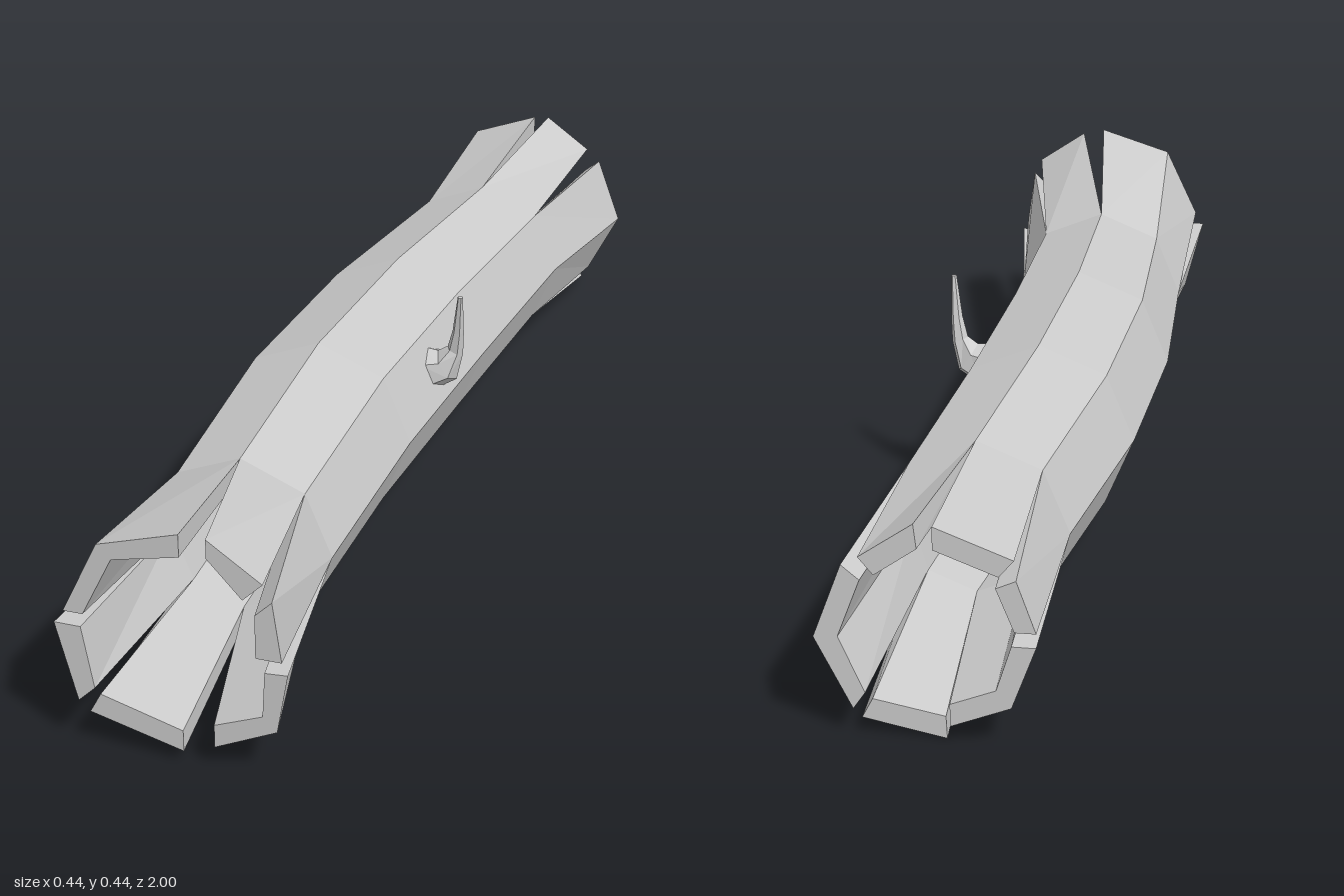
import * as THREE from 'three';

const material = new THREE.MeshStandardMaterial({ color: 0xcccccc, flatShading: true });

// Collects quads (counter-clockwise corners) into a flat-shaded mesh
function quadMesh(name, quads) {
  const pos = [];
  for (const [a, b, c, d] of quads) pos.push(...a, ...b, ...c, ...a, ...c, ...d);
  const g = new THREE.BufferGeometry();
  g.setAttribute('position', new THREE.Float32BufferAttribute(pos, 3));
  g.computeVertexNormals();
  const m = new THREE.Mesh(g, material);
  m.name = name;
  return m;
}

// Thick shell between section A (lower z) and section B (higher z)
function shell(A, B, { sides = false, capA = false, capB = false } = {}) {
  const q = [];
  const n = A.length - 1;
  for (let k = 0; k < n; k++) {
    const [a, a2, b, b2] = [A[k], A[k + 1], B[k], B[k + 1]];
    q.push([a.o, a2.o, b2.o, b.o], [a.i, b.i, b2.i, a2.i]);
    if (capB) q.push([b.o, b2.o, b2.i, b.i]);
    if (capA) q.push([a.o, a.i, a2.i, a2.o]);
  }
  if (sides) {
    q.push([A[0].i, A[0].o, B[0].o, B[0].i]);
    q.push([A[n].i, B[n].i, B[n].o, A[n].o]);
  }
  return q;
}

// Octagonal ring with outer radius r and inner radius r * f
function ring({ z, x, y, r, f }) {
  const pts = [];
  for (let k = 0; k <= 8; k++) {
    const t = (k % 8) * Math.PI / 4;
    const ri = r * f * (k % 8 === 0 ? 0.92 : 1);
    pts.push({
      o: [x + r * Math.cos(t), y + r * Math.sin(t), z],
      i: [x + ri * Math.cos(t), y + ri * Math.sin(t), z],
    });
  }
  return pts;
}

// Splinters: first octagon corner, z of the tip, outer and inner tip points
const frontSplinters = [
  { k: 0, z: 0.99, o: [[0.175, 0.235], [0.16, 0.345]], i: [[0.13, 0.235], [0.13, 0.315]] },
  { k: 1, z: 0.99, o: [[0.145, 0.375], [0.05, 0.44]], i: [[0.11, 0.34], [0.05, 0.405]] },
  { k: 2, z: 1, o: [[0.008, 0.447], [-0.135, 0.402], [-0.2, 0.265]], i: [[0.008, 0.405], [-0.11, 0.378], [-0.165, 0.265]] },
  { k: 4, z: 1, o: [[-0.217, 0.24], [-0.18, 0.095]], i: [[-0.17, 0.24], [-0.15, 0.125]] },
  { k: 5, z: 0.99, o: [[-0.165, 0.07], [0, 0.027]], i: [[-0.145, 0.108], [0, 0.067]] },
  { k: 6, z: 0.99, o: [[0.055, 0.047], [0.165, 0.1], [0.185, 0.213]], i: [[0.055, 0.09], [0.14, 0.125], [0.145, 0.21]] },
];
const backSplinters = [
  { k: 7, z: -0.99, o: [[0.16, 0.05], [0.223, 0.175], [0.175, 0.305]], i: [[0.14, 0.08], [0.183, 0.178], [0.145, 0.28]] },
  { k: 1, z: -1, o: [[0.145, 0.325], [0.055, 0.388]], i: [[0.12, 0.295], [0.05, 0.345]] },
  { k: 2, z: -1, o: [[0.025, 0.385], [-0.105, 0.335]], i: [[0.025, 0.345], [-0.08, 0.305]] },
  { k: 3, z: -1, o: [[-0.108, 0.3], [-0.14, 0.21]], i: [[-0.075, 0.285], [-0.105, 0.21]] },
  { k: 4, z: -1, o: [[-0.14, 0.185], [-0.1, 0.075], [0.0, 0.035]], i: [[-0.1, 0.185], [-0.075, 0.105], [0.0, 0.075]] },
  { k: 6, z: -0.98, o: [[0.008, 0.002], [0.148, 0.03]], i: [[0.01, 0.042], [0.13, 0.065]] },
];

function splinter(s, root, front) {
  const tip = s.o.map((p, n) => ({ o: [...p, s.z], i: [...s.i[n], s.z] }));
  const base = tip.map((_, n) => root[(s.k + n) % 8]);
  return front
    ? shell(base, tip, { sides: true, capB: true })
    : shell(tip, base, { sides: true, capA: true });
}

export function createModel() {
  const group = new THREE.Group();
  group.name = 'hollowLog';

  // Gently bent hollow trunk
  const rings = [
    { z: -0.62, x: 0.02, y: 0.212, r: 0.162, f: 0.74 },
    { z: -0.2, x: -0.025, y: 0.213, r: 0.177, f: 0.76 },
    { z: 0.2, x: -0.045, y: 0.217, r: 0.177, f: 0.78 },
    { z: 0.62, x: -0.036, y: 0.211, r: 0.165, f: 0.8 },
  ].map(ring);
  const trunk = [];
  for (let n = 0; n < rings.length - 1; n++) trunk.push(...shell(rings[n], rings[n + 1]));
  group.add(quadMesh('trunk', trunk));

  // Split, splayed ends
  frontSplinters.forEach((s, n) => group.add(quadMesh(`frontSplinter${n + 1}`, splinter(s, rings[3], true))));
  backSplinters.forEach((s, n) => group.add(quadMesh(`backSplinter${n + 1}`, splinter(s, rings[0], false))));

  // Small twig: leaves the bark sideways and bends upward, tapering
  const twig = [
    { p: [0.105, 0.272, 0], r: 0.044, a: 0.35 },
    { p: [0.14, 0.283, 0], r: 0.033, a: 0.6 },
    { p: [0.156, 0.318, 0.002], r: 0.016, a: 1.2 },
    { p: [0.163, 0.36, 0.009], r: 0.011, a: 1.45 },
    { p: [0.17, 0.438, 0.022], r: 0.005, a: 1.5 },
  ].map(({ p, r, a }) => Array.from({ length: 7 }, (_, k) => {
    const t = (k % 6) * Math.PI / 3;
    const u = r * Math.cos(t), v = r * Math.sin(t);
    return [p[0] - u * Math.sin(a), p[1] + u * Math.cos(a), p[2] + v];
  }));
  const twigQuads = [];
  for (let n = 0; n < twig.length - 1; n++) {
    for (let k = 0; k < 6; k++) {
      twigQuads.push([twig[n][k], twig[n][k + 1], twig[n + 1][k + 1], twig[n + 1][k]]);
    }
  }
  const tip = twig[twig.length - 1];
  twigQuads.push([tip[0], tip[1], tip[2], tip[3]], [tip[3], tip[4], tip[5], tip[0]]);
  group.add(quadMesh('twig', twigQuads));

  return group;
}
